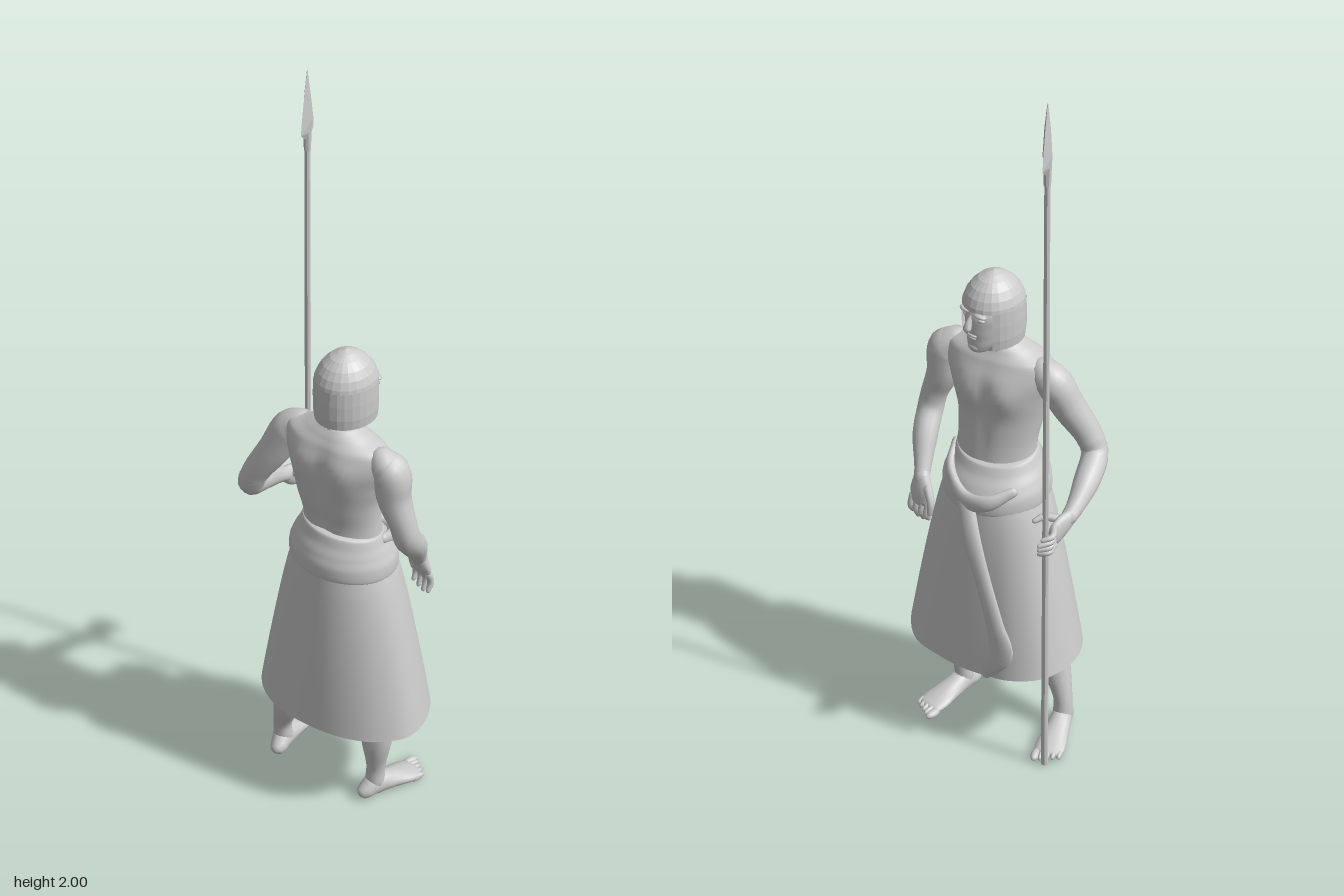
import * as THREE from 'three';

const V = (x, y, z) => new THREE.Vector3(x, y, z);
const smooth = new THREE.MeshStandardMaterial({ color: 0xcccccc });
const flat = new THREE.MeshStandardMaterial({ color: 0xcccccc, flatShading: true });
const thin = new THREE.MeshStandardMaterial({ color: 0xcccccc, side: THREE.DoubleSide });

function add(parent, name, geo, mat = smooth) {
  const mesh = new THREE.Mesh(geo, mat);
  mesh.name = name;
  parent.add(mesh);
  return mesh;
}

// Closed rings of points joined into a skin, optionally capped at both ends.
function skin(rings, capped = true) {
  const n = rings[0].length, pos = [], idx = [];
  rings.forEach(r => r.forEach(p => pos.push(p.x, p.y, p.z)));
  for (let i = 0; i < rings.length - 1; i++) for (let j = 0; j < n; j++) {
    const a = i * n + j, b = i * n + (j + 1) % n;
    idx.push(a, b, b + n, a, b + n, a + n);
  }
  if (capped) [0, rings.length - 1].forEach((k, end) => {
    const c = rings[k].reduce((s, p) => s.add(p), V(0, 0, 0)).divideScalar(n);
    const m = pos.length / 3;
    pos.push(c.x, c.y, c.z);
    for (let j = 0; j < n; j++) {
      const a = k * n + j, b = k * n + (j + 1) % n;
      end ? idx.push(a, b, m) : idx.push(b, a, m);
    }
  });
  const g = new THREE.BufferGeometry();
  g.setAttribute('position', new THREE.Float32BufferAttribute(pos, 3));
  g.setIndex(idx);
  g.computeVertexNormals();
  return g;
}

// Tube through [x, y, z, radius, radius along side] with rounded ends.
function limb(pts, side = [0, 0, 1], steps = 24, seg = 14) {
  const path = new THREE.CatmullRomCurve3(pts.map(p => V(p[0], p[1], p[2])));
  const size = new THREE.CatmullRomCurve3(pts.map(p => V(p[3], p[4] ?? p[3], 0)), false, 'catmullrom', 0.4);
  const rings = [];
  const ring = (t, scale, shift) => {
    const T = path.getTangent(t), s = size.getPoint(t);
    const N = V(...side).addScaledVector(T, -V(...side).dot(T)).normalize();
    const B = T.clone().cross(N);
    const c = path.getPoint(t).addScaledVector(T, shift * Math.min(s.x, s.y));
    rings.push(Array.from({ length: seg }, (_, j) => {
      const a = j / seg * Math.PI * 2;
      return c.clone().addScaledVector(N, Math.cos(a) * s.y * scale).addScaledVector(B, Math.sin(a) * s.x * scale);
    }));
  };
  [[0.3, -0.95], [0.75, -0.66]].forEach(([k, d]) => ring(0, k, d));
  for (let i = 0; i <= steps; i++) ring(i / steps, 1, 0);
  [[0.75, 0.66], [0.3, 0.95]].forEach(([k, d]) => ring(1, k, d));
  return skin(rings);
}

// Stack of ellipses [y, centre x, centre z, half depth, half width], turned by yaw.
function loft(rows, yaw = 0, steps = 24, seg = 32, deform = null) {
  const c = new THREE.CatmullRomCurve3(rows.map(r => V(r[1], r[0], r[2])));
  const s = new THREE.CatmullRomCurve3(rows.map(r => V(r[3], r[4], 0)), false, 'catmullrom', 0.4);
  return skin(Array.from({ length: steps + 1 }, (_, i) => {
    // both curves share the row parameter
    const p = c.getPoint(i / steps), r = s.getPoint(i / steps);
    return Array.from({ length: seg }, (_, j) => {
      const a = j / seg * Math.PI * 2;
      const q = V(Math.cos(a) * r.x, 0, -Math.sin(a) * r.y);
      if (deform) deform(q, p.y, a);
      return q.applyAxisAngle(V(0, 1, 0), yaw).add(p);
    });
  }));
}

function ball(parent, name, p, r) {
  const m = add(parent, name, new THREE.SphereGeometry(1, 14, 10));
  m.position.set(...p);
  m.scale.set(...r);
}

const bump = (d, w) => Math.exp(-d * d / (w * w));

function buildBody(g) {
  // Torso with chest muscles, breastbone and spine grooves
  add(g, 'torso', loft([
    [0.82, -0.02, 0.055, 0.085, 0.11], [0.9, -0.025, 0.055, 0.08, 0.108], [0.97, -0.035, 0.055, 0.085, 0.116],
    [1.04, -0.038, 0.058, 0.088, 0.132], [1.1, -0.04, 0.06, 0.086, 0.148], [1.145, -0.042, 0.06, 0.07, 0.145],
    [1.17, -0.042, 0.06, 0.055, 0.09], [1.19, -0.04, 0.06, 0.042, 0.05],
  ], 0.29, 36, 48, (q, y, a) => {
    const front = Math.max(0, Math.cos(a)), back = Math.max(0, -Math.cos(a));
    const side = Math.abs(q.z);
    q.x += front * 0.016 * bump(y - 1.06, 0.045) * bump(side - 0.06, 0.045);
    q.x -= front * 0.006 * bump(side, 0.015) * bump(y - 1.0, 0.12);
    q.x -= back * 0.012 * bump(y - 1.08, 0.06) * bump(side - 0.07, 0.04);
    q.x += back * 0.012 * bump(side, 0.02) * bump(y - 1.0, 0.13);
  }));
  add(g, 'neck', limb([[-0.045, 1.13, 0.06, 0.055], [-0.032, 1.19, 0.06, 0.048], [-0.015, 1.25, 0.06, 0.045]]));

  // Arms, shoulder to wrist
  add(g, 'rightArm', limb([
    [-0.005, 1.125, 0.195, 0.04], [0.005, 1.1, 0.215, 0.048], [0.008, 1.03, 0.222, 0.044], [0.018, 0.96, 0.245, 0.036],
    [0.03, 0.91, 0.25, 0.035], [0.07, 0.855, 0.228, 0.034], [0.11, 0.79, 0.195, 0.023], [0.125, 0.765, 0.183, 0.021]], undefined, 32));
  add(g, 'leftArm', limb([
    [-0.07, 1.125, -0.065, 0.04], [-0.08, 1.1, -0.09, 0.047], [-0.105, 1.03, -0.12, 0.043], [-0.135, 0.95, -0.162, 0.036],
    [-0.137, 0.905, -0.182, 0.035], [-0.075, 0.87, -0.218, 0.034], [-0.01, 0.835, -0.243, 0.024], [0.02, 0.82, -0.25, 0.021]], [0, 1, 0], 32));

  // Relaxed right hand
  add(g, 'rightHand', limb([[0.122, 0.775, 0.185, 0.018, 0.022], [0.135, 0.735, 0.175, 0.016, 0.037], [0.143, 0.705, 0.17, 0.012, 0.034]]));
  [0.2, 0.18, 0.16, 0.14].forEach((z, i) => add(g, 'rightFinger', limb([
    [0.142, 0.71, z, 0.01], [0.15, 0.68, z, 0.009], [0.14, 0.65 + Math.abs(i - 1.3) * 0.007, z + 0.003, 0.006]], undefined, 8, 8)));
  add(g, 'rightThumb', limb([[0.135, 0.75, 0.15, 0.012], [0.145, 0.72, 0.128, 0.01], [0.15, 0.69, 0.127, 0.007]], undefined, 8, 8));

  // Left hand held open against the spear
  add(g, 'leftHand', limb([[0.015, 0.822, -0.25, 0.018, 0.022], [0.05, 0.807, -0.253, 0.015, 0.034], [0.08, 0.798, -0.258, 0.012, 0.034]], [0, 1, 0]));
  [0.825, 0.807, 0.788, 0.77].forEach((y, i) => add(g, 'leftFinger', limb([
    [0.078, y, -0.258, 0.009], [0.11, y - 0.002, -0.283 + i * 0.004, 0.008], [0.138 - Math.abs(i - 1) * 0.006, y - 0.008, -0.272 + i * 0.006, 0.006]], [0, 1, 0], 8, 8)));
  add(g, 'leftThumb', limb([[0.04, 0.82, -0.243, 0.012], [0.07, 0.826, -0.212, 0.01], [0.093, 0.82, -0.203, 0.007]], [0, 1, 0], 8, 8));

  // Legs and feet
  add(g, 'rightLeg', limb([[0, 0.7, 0.12, 0.065], [0, 0.46, 0.155, 0.055], [0.008, 0.3, 0.17, 0.045],
    [0.005, 0.2, 0.168, 0.041], [0.01, 0.1, 0.16, 0.026], [0.008, 0.045, 0.158, 0.027]]));
  add(g, 'leftLeg', limb([[-0.04, 0.7, -0.01, 0.065], [-0.065, 0.46, -0.05, 0.055], [-0.08, 0.3, -0.08, 0.045],
    [-0.086, 0.2, -0.1, 0.041], [-0.082, 0.1, -0.136, 0.026], [-0.078, 0.045, -0.14, 0.027]]));
  [['rightFoot', 0.008, 0.158, 0, 1], ['leftFoot', -0.078, -0.14, 0.5, -1]].forEach(([name, x, z, yaw, s]) => {
    const foot = new THREE.Group();
    foot.name = name;
    foot.position.set(x, 0, z);
    foot.rotation.y = yaw;
    add(foot, 'sole', limb([[-0.03, 0.026, 0, 0.024], [0, 0.036, 0, 0.034, 0.028],
      [0.05, 0.028, 0, 0.026, 0.034], [0.1, 0.019, 0, 0.017, 0.041], [0.13, 0.014, 0, 0.011, 0.039]]));
    for (let i = 0; i < 5; i++) // big toe on the inner side
      ball(foot, 'toe', [0.145 - i * 0.006, 0.012, s * (-0.031 + i * 0.0155)], [0.024, 0.011, i ? 0.008 : 0.012]);
    g.add(foot);
  });
}

function buildHead(g) {
  add(g, 'face', loft([[1.178, 0.035, 0.06, 0.012, 0.012], [1.188, 0.028, 0.06, 0.032, 0.028], [1.215, 0.008, 0.06, 0.054, 0.044],
    [1.25, -0.008, 0.06, 0.073, 0.054], [1.29, -0.015, 0.06, 0.079, 0.06], [1.335, -0.02, 0.06, 0.062, 0.05]]));
  add(g, 'nose', limb([[0.056, 1.29, 0.06, 0.008, 0.006], [0.068, 1.272, 0.06, 0.01, 0.008], [0.075, 1.258, 0.06, 0.009, 0.012]], undefined, 8, 10));
  ball(g, 'upperLip', [0.06, 1.236, 0.06], [0.008, 0.005, 0.02]);
  ball(g, 'lowerLip', [0.058, 1.227, 0.06], [0.008, 0.006, 0.017]);
  ball(g, 'chin', [0.05, 1.198, 0.06], [0.014, 0.013, 0.02]);
  [-1, 1].forEach(s => {
    ball(g, 'brow', [0.054, 1.298, 0.06 + s * 0.025], [0.012, 0.006, 0.02]);
    ball(g, 'eye', [0.05, 1.283, 0.06 + s * 0.025], [0.01, 0.007, 0.012]);
  });

  // Pointed helmet: full dome above, open at the face below
  const helmet = new THREE.Group();
  helmet.name = 'helmet';
  helmet.position.set(-0.017, 0, 0.06);
  helmet.scale.x = 1.12;
  const P = a => a.map(p => new THREE.Vector2(...p));
  const metal = flat.clone();
  metal.side = THREE.DoubleSide;
  const open = 0.82;
  add(helmet, 'dome', new THREE.LatheGeometry(P([[0.069, 1.305], [0.075, 1.307], [0.0735, 1.318], [0.066, 1.338],
    [0.054, 1.357], [0.037, 1.374], [0.018, 1.385], [0, 1.392]]), 24), metal);
  add(helmet, 'neckGuard', new THREE.LatheGeometry(P([[0.066, 1.31], [0.068, 1.205], [0.073, 1.202], [0.076, 1.23],
    [0.0765, 1.27], [0.075, 1.308]]), 20, Math.PI / 2 + open, 2 * Math.PI - 2 * open), metal);
  g.add(helmet);
}

function buildClothes(g) {
  // Long skirt spreading from an oval waist to a skewed hem
  const hem = new THREE.CatmullRomCurve3([[0.17, 0.07], [0.138, -0.06], [0.115, -0.14], [0.06, -0.2], [-0.02, -0.213],
    [-0.1, -0.185], [-0.16, -0.12], [-0.185, -0.03], [-0.165, 0.09], [-0.12, 0.19], [-0.06, 0.255], [0.02, 0.287],
    [0.11, 0.25], [0.18, 0.16]].map(p => V(p[0], 0, p[1])), true).getSpacedPoints(64).slice(0, 64);
  const rings = [];
  for (let i = 0; i <= 16; i++) {
    const t = 1 - i / 16, f = Math.pow(t, 0.82);
    rings.push(hem.map(h => {
      const a = Math.atan2(h.z - 0.045, h.x + 0.01);
      const w = V(-0.012 + 0.126 * Math.cos(a), 0.77, 0.045 + 0.142 * Math.sin(a));
      const low = V(h.x, 0.285 - 0.22 * Math.max(0, h.x) * bump(h.z + 0.02, 0.16), h.z);
      const p = w.clone().lerp(low, f);
      p.y = THREE.MathUtils.lerp(w.y, low.y, t);
      return p;
    }));
  }
  add(g, 'skirt', skin(rings, false), thin);

  // Wrapped waist cloth, sagging at the front
  add(g, 'waistCloth', loft([[0.745, -0.012, 0.045, 0.118, 0.135], [0.755, -0.012, 0.045, 0.132, 0.148], [0.79, -0.013, 0.046, 0.132, 0.147],
    [0.82, -0.016, 0.048, 0.12, 0.136], [0.85, -0.02, 0.052, 0.102, 0.122], [0.872, -0.022, 0.054, 0.092, 0.113],
    [0.876, -0.022, 0.054, 0.082, 0.1]], 0.08, 28, 40, (q, y, a) => { q.y -= 0.014 * Math.cos(a); }));
  add(g, 'waistFold', limb([[0.03, 0.85, 0.155, 0.01, 0.014], [0.09, 0.81, 0.11, 0.014, 0.022], [0.116, 0.775, 0.03, 0.016, 0.026],
    [0.105, 0.79, -0.04, 0.014, 0.022], [0.05, 0.82, -0.08, 0.01, 0.014]], [0, 1, 0]));

  // Sash hanging down the front
  add(g, 'sash', limb([[0.118, 0.77, 0.025, 0.014, 0.024], [0.134, 0.68, -0.015, 0.013, 0.026], [0.138, 0.57, -0.06, 0.012, 0.024],
    [0.135, 0.45, -0.1, 0.012, 0.027], [0.132, 0.37, -0.12, 0.012, 0.037], [0.142, 0.31, -0.095, 0.01, 0.026],
    [0.146, 0.27, -0.075, 0.006, 0.012]], [0.28, 0, 0.96], 28, 12));
}

function buildSpear(g) {
  const spear = new THREE.Group();
  spear.name = 'spear';
  spear.position.set(0.065, 0.004, -0.218);
  spear.rotation.z = -0.0055;
  add(spear, 'shaft', new THREE.CylinderGeometry(0.007, 0.0095, 1.85, 8), flat).position.y = 0.925;
  // Flat four-sided blade on a short socket
  const blade = new THREE.Group();
  blade.rotation.y = 0.45;
  blade.name = 'blade';
  add(blade, 'socket', new THREE.CylinderGeometry(0.011, 0.009, 0.06, 8), flat).position.y = 1.81;
  const rows = [[1.81, 0.008, 0.006], [1.832, 0.033, 0.01], [1.86, 0.03, 0.012], [1.93, 0.016, 0.008], [1.996, 0.0008, 0.0008]];
  add(blade, 'point', skin(rows.map(([y, w, d]) => [V(w, y, 0), V(0, y, -d), V(-w, y, 0), V(0, y, d)])), flat);
  spear.add(blade);
  g.add(spear);
}

export function createModel() {
  const g = new THREE.Group();
  g.name = 'spearman';
  [buildBody, buildHead, buildClothes, buildSpear].forEach(build => build(g));
  return g;
}
